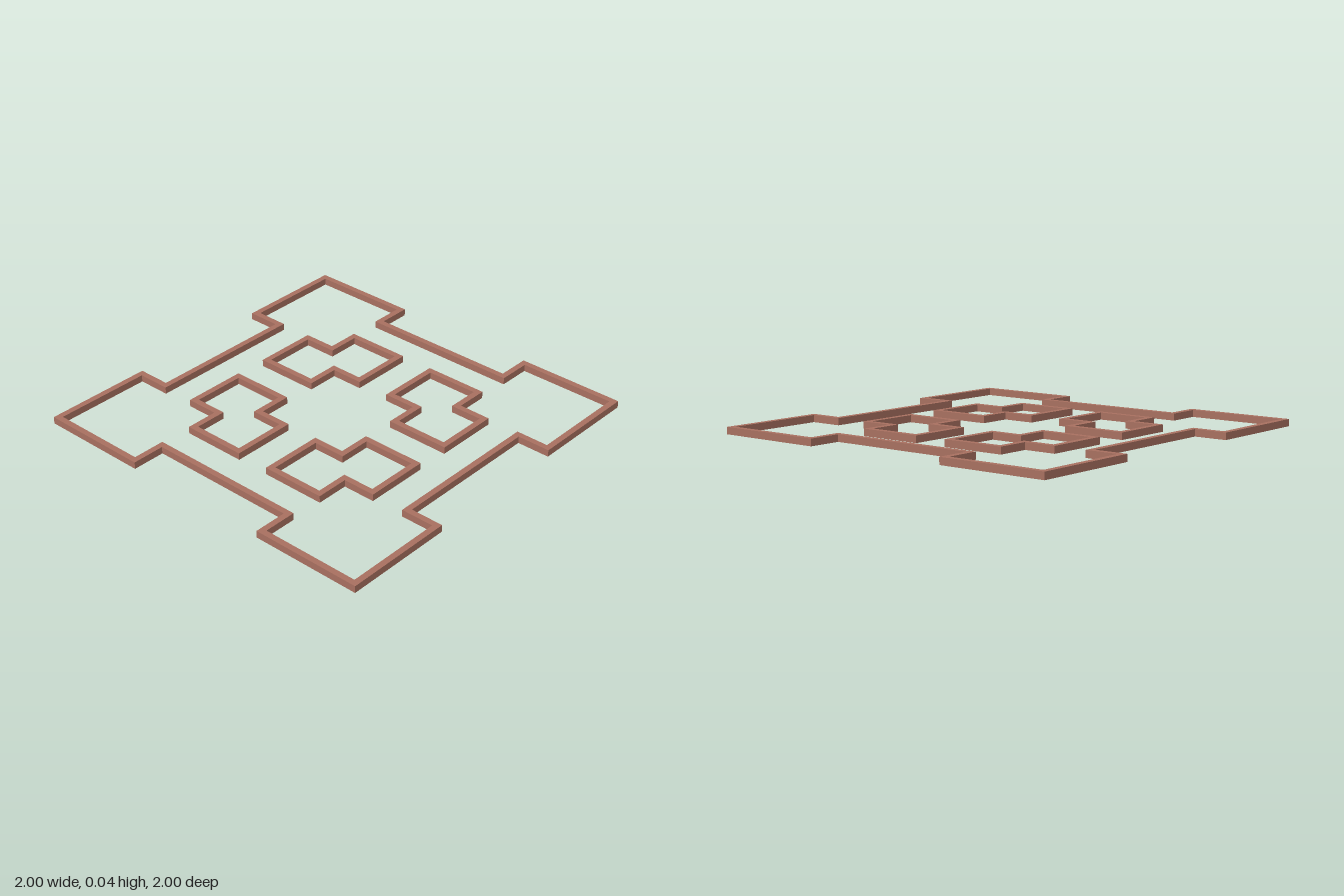
import * as THREE from 'three';

const WALL = 0.032, HEIGHT = 0.037;

// Move every corner of a counter-clockwise right-angled outline inward by t.
function inset(pts, t) {
  const n = pts.length;
  return pts.map(([x, y], i) => {
    const [px, py] = pts[(i + n - 1) % n], [qx, qy] = pts[(i + 1) % n];
    const ax = Math.sign(x - px), ay = Math.sign(y - py);
    const bx = Math.sign(qx - x), by = Math.sign(qy - y);
    return [x - t * (ay + by), y + t * (ax + bx)];
  });
}

// Extruded band of constant width that follows an outline, lying on the ground.
function band(name, pts, material) {
  const toVec = ([x, y]) => new THREE.Vector2(x, y);
  const shape = new THREE.Shape(pts.map(toVec));
  shape.holes.push(new THREE.Path(inset(pts, WALL).map(toVec)));
  const geo = new THREE.ExtrudeGeometry(shape, { depth: HEIGHT, bevelEnabled: false });
  geo.rotateX(-Math.PI / 2);
  const mesh = new THREE.Mesh(geo, material);
  mesh.name = name;
  return mesh;
}

export function createModel() {
  const group = new THREE.Group();
  group.name = 'wallLayout';
  const clay = new THREE.MeshStandardMaterial({ color: 0xa87060 });
  clay.name = 'clay brown';

  // Outer wall: a square with a shallow recess in the middle of each side
  const r = 0.822, c = 0.406;
  const side = [[1, -1], [1, -c], [r, -c], [r, c], [1, c]];
  const outline = [];
  for (let k = 0; k < 4; k++) {
    for (const [x, y] of side) {
      outline.push([[x, y], [-y, x], [-x, -y], [y, -x]][k]);
    }
  }
  group.add(band('outerWall', outline, clay));

  // Four inner rooms: a square with two opposite corners cut away
  const room = [
    [0.265, 0.09], [0.612, 0.09], [0.612, 0.437], [0.437, 0.437],
    [0.437, 0.612], [0.09, 0.612], [0.09, 0.265], [0.265, 0.265],
  ];
  const names = ['backLeftRoom', 'backRightRoom', 'frontRightRoom', 'frontLeftRoom'];
  names.forEach((name, k) => {
    const mesh = band(name, room, clay);
    mesh.rotation.y = k * Math.PI / 2;
    group.add(mesh);
  });
  return group;
}
